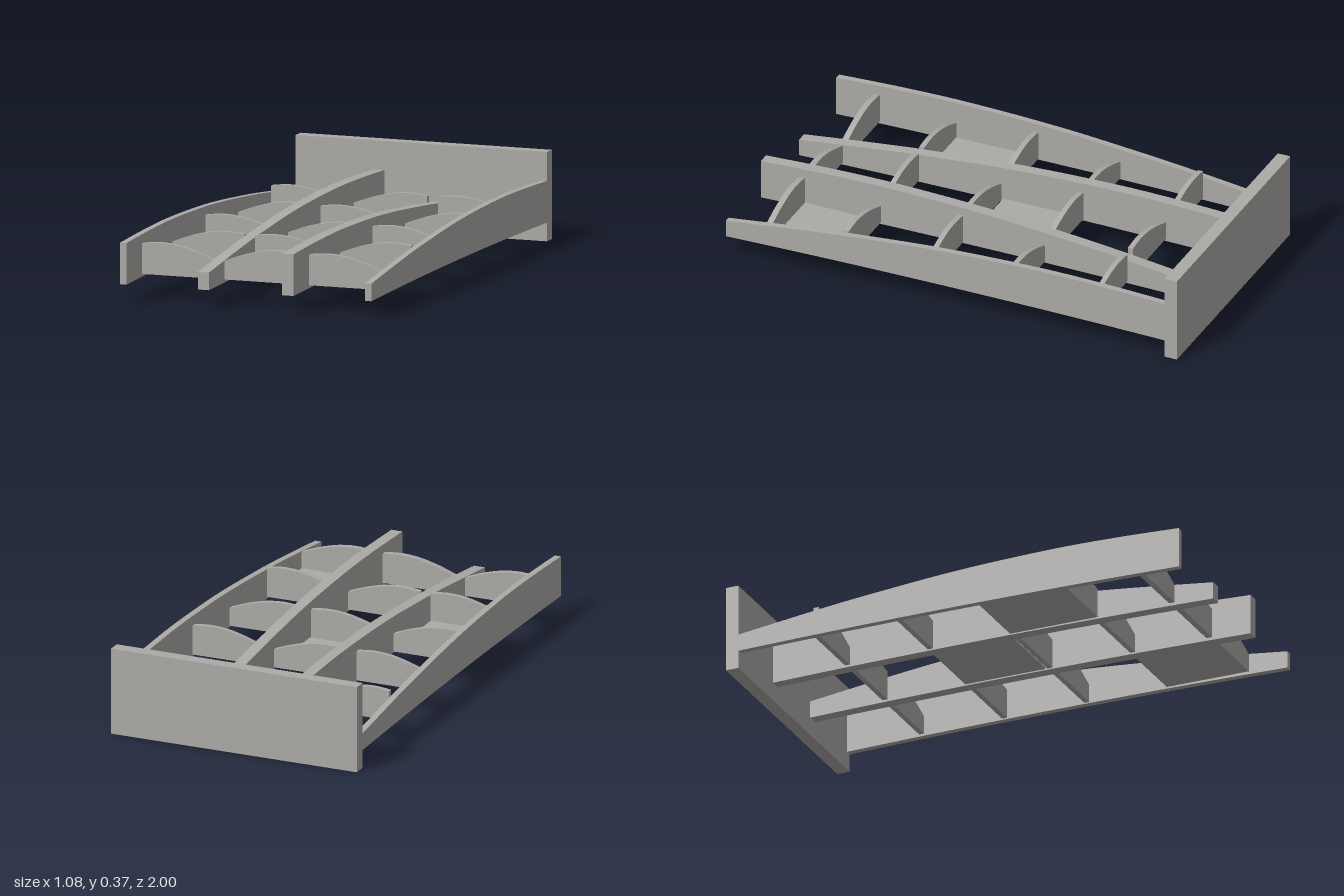
import * as THREE from 'three';

const BACK = -0.945, FRONT = 1;

// Lopsided arch: low at t = 0, cresting past the middle, slightly lower at t = 1
const ARCH = [[0, 0], [0.18, 0.38], [0.31, 0.61], [0.5, 0.87], [0.7, 0.99], [0.85, 0.97], [1, 0.87]];

// Plank outline from a to b with an arched top; flip puts the low end at b
function plankShape(a, b, bottom, sag, low, high, flip) {
  const at = (t) => a + (b - a) * t;
  const top = ARCH.map(([t, h]) => new THREE.Vector2(at(flip ? 1 - t : t), low + (high - low) * h));
  if (!flip) top.reverse();
  const shape = new THREE.Shape();
  shape.moveTo(a, bottom);
  shape.quadraticCurveTo(at(0.5), bottom + sag * 2, b, bottom);
  shape.lineTo(top[0].x, top[0].y);
  shape.splineThru(top.slice(1));
  shape.closePath();
  return shape;
}

export function createModel() {
  const model = new THREE.Group();
  model.name = 'ribbedFrame';
  const grey = new THREE.MeshStandardMaterial({ color: 0xacaaa7 });
  grey.name = 'grey';

  const add = (name, geometry, x, y, z) => {
    const mesh = new THREE.Mesh(geometry, grey);
    mesh.name = name;
    mesh.position.set(x, y, z);
    model.add(mesh);
  };
  const box = (name, x0, x1, y0, y1, z0, z1) => add(name,
    new THREE.BoxGeometry(x1 - x0, y1 - y0, z1 - z0),
    (x0 + x1) / 2, (y0 + y1) / 2, (z0 + z1) / 2);
  const extrude = (shape, depth) =>
    new THREE.ExtrudeGeometry(shape, { depth, bevelEnabled: false, curveSegments: 24 });

  // Upright board at the back
  box('backBoard', -0.542, 0.542, 0, 0.365, -1, BACK);

  // Long arched rails, alternately low at the back and at the front
  const rails = [[-0.542, -0.515], [-0.207, -0.159], [0.157, 0.206], [0.515, 0.542]];
  rails.forEach(([x0, x1], i) => {
    const shape = plankShape(BACK, FRONT, 0.076, 0.011, 0.148, 0.261, i % 2 === 1);
    const geometry = extrude(shape, x1 - x0).rotateY(-Math.PI / 2);
    add('rail' + (i + 1), geometry, x1, 0, 0);
  });

  // Short arched ribs between the rails, direction alternating like a weave
  const ribs = [[0.805, 0.83], [0.468, 0.49], [0.103, 0.125], [-0.26, -0.238], [-0.626, -0.604]];
  for (let bay = 0; bay < 3; bay++) {
    ribs.forEach(([z0, z1], row) => {
      const shape = plankShape(rails[bay][1], rails[bay + 1][0], 0.092, 0, 0.168, 0.223, (bay + row) % 2 === 0);
      add('rib', extrude(shape, z1 - z0), 0, 0, z0);
    });
  }

  // Thin floor panels closing three of the cells
  [[0, 0.125, 0.468], [1, -0.238, 0.095], [2, 0.49, 0.805]].forEach(([bay, z0, z1]) =>
    box('floorPanel', rails[bay][1], rails[bay + 1][0], 0.092, 0.1, z0, z1));

  return model;
}
